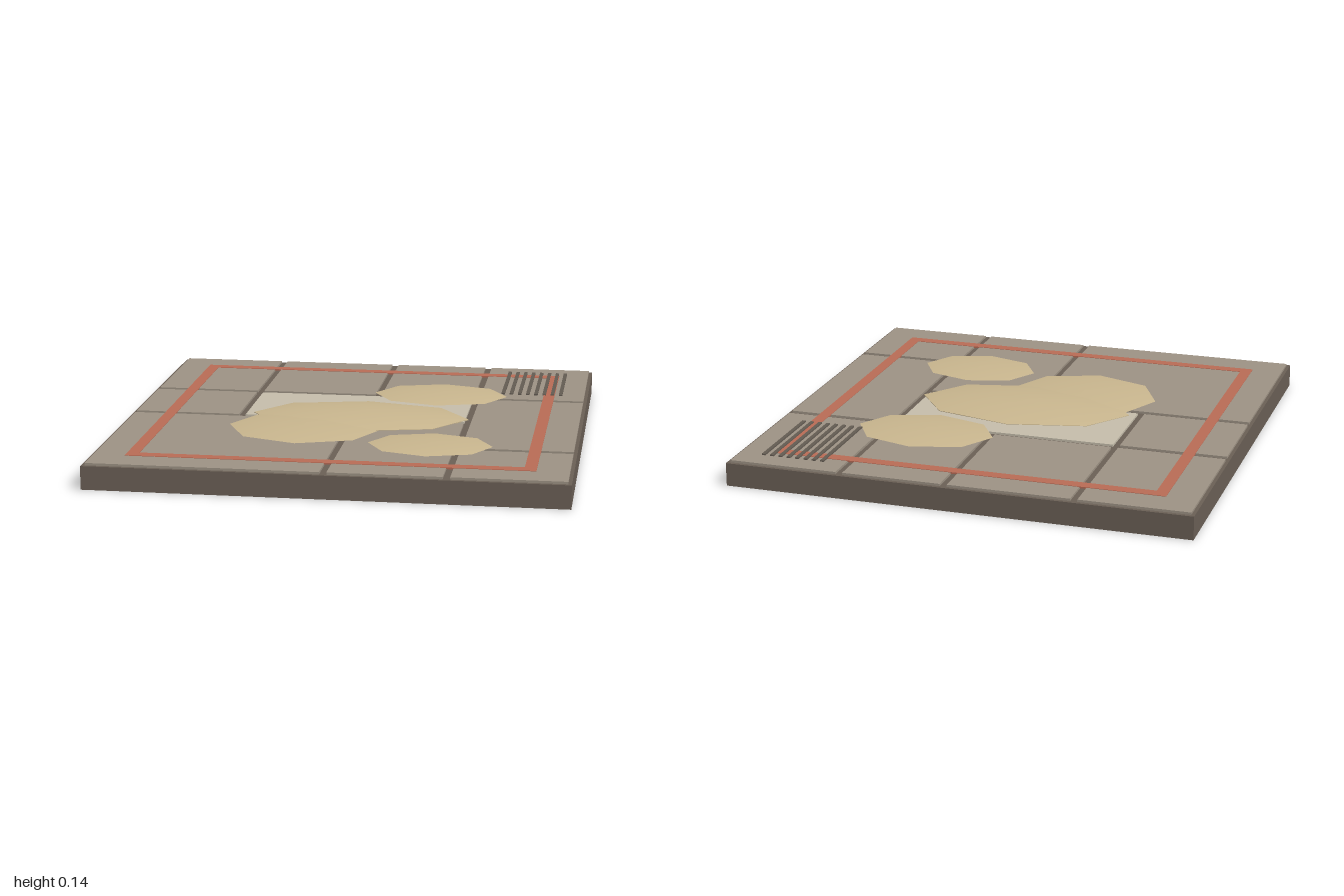
import * as THREE from 'three';

const mat = (name, color, extra = {}) => {
  const m = new THREE.MeshStandardMaterial({ color, ...extra });
  m.name = name;
  return m;
};

export function createModel() {
  const group = new THREE.Group();
  group.name = 'pavedFloorTile';

  const grout = mat('darkGrout', 0x6b6056);
  const stone = mat('greyStone', 0x9e9385);
  const pale = mat('paleStone', 0xc6beac);
  const paint = mat('redPaint', 0xba6c56);
  const metal = mat('grateMetal', 0x645c53);
  const sand = mat('sand', 0xcab78f);

  // Box given by its minimum and maximum corners
  const box = (name, material, x0, x1, y0, y1, z0, z1) => {
    const mesh = new THREE.Mesh(new THREE.BoxGeometry(x1 - x0, y1 - y0, z1 - z0), material);
    mesh.position.set((x0 + x1) / 2, (y0 + y1) / 2, (z0 + z1) / 2);
    mesh.name = name;
    group.add(mesh);
  };

  // Base slab, seen as grout between the pavers
  box('baseSlab', grout, -1, 1, 0, 0.1, -1, 1);

  // Pavers: x0, x1, z0, z1
  const E = 0.985;
  const pavers = [
    [-E, -0.52, -E, -0.36], [-0.49, 0.03, -E, -0.36], [0.06, 0.485, -E, -0.36], [0.515, E, -E, -0.36],
    [-E, -0.52, -0.33, 0.09], [0.515, E, -0.33, 0.53], [0.515, E, 0.56, E],
    [-E, -0.015, 0.12, E], [0.015, 0.485, 0.12, E],
  ];
  for (const [x0, x1, z0, z1] of pavers) box('paver', stone, x0, x1, 0.1, 0.11, z0, z1);
  box('palePaver', pale, -0.49, 0.485, 0.1, 0.11, -0.33, 0.09);

  // Painted square border
  for (const s of [-1, 1]) {
    const a = Math.min(s * 0.8, s * 0.85), b = Math.max(s * 0.8, s * 0.85);
    box('borderStripe', paint, -0.85, 0.85, 0.105, 0.112, a, b);
    box('borderStripe', paint, a, b, 0.105, 0.112, -0.8, 0.8);
  }

  // Drain grate bars
  for (let i = 0; i < 8; i++) {
    const x = 0.613 + i * 0.0377;
    box('grateBar', metal, x - 0.008, x + 0.008, 0.106, 0.116, -0.89, -0.45);
  }

  // Low eight-sided sand drifts: x, z, radius x, radius z, base y, height
  const profile = [[1, 0], [0.85, 0.32], [0.6, 0.68], [0.3, 0.93], [0, 1]]
    .map(([r, y]) => new THREE.Vector2(r, y));
  const drifts = [
    [0.02, 0.05, 0.48, 0.27, 0.112, 0.027],
    [-0.19, 0.27, 0.335, 0.285, 0.11, 0.018],
    [0.33, -0.4, 0.305, 0.21, 0.11, 0.015],
    [0.38, 0.495, 0.265, 0.19, 0.11, 0.012],
  ];
  for (const [x, z, rx, rz, y, h] of drifts) {
    const mesh = new THREE.Mesh(new THREE.LatheGeometry(profile, 8), sand);
    mesh.scale.set(rx, h, rz);
    mesh.position.set(x, y, z);
    mesh.name = 'sandDrift';
    group.add(mesh);
  }
  // Thin rim under the largest drift
  const rim = new THREE.Mesh(new THREE.CylinderGeometry(1, 1, 0.004, 8, 1, true), sand);
  rim.scale.set(0.48, 1, 0.27);
  rim.position.set(0.02, 0.11, 0.05);
  rim.name = 'sandDriftRim';
  group.add(rim);

  return group;
}
